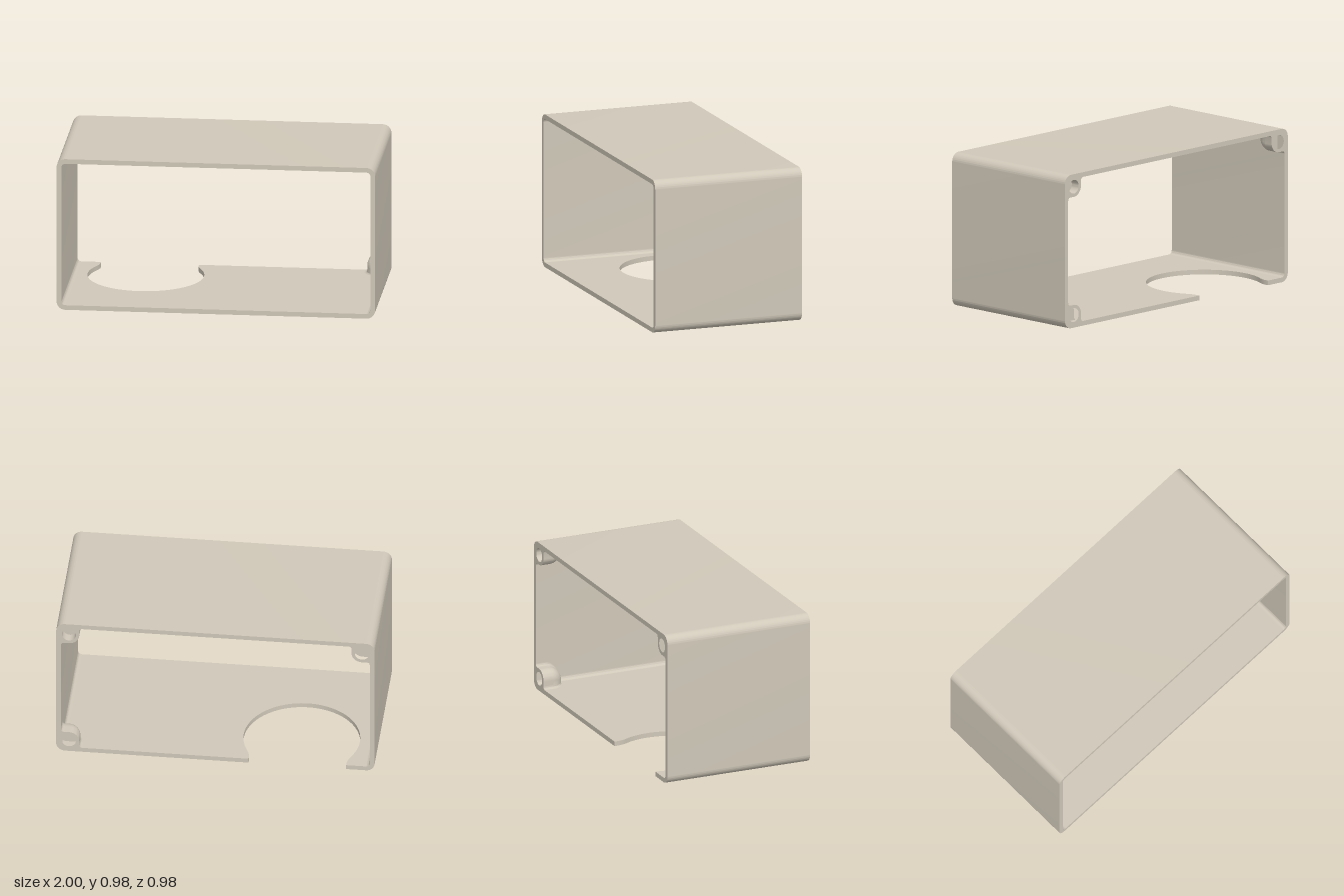
import * as THREE from 'three';
import { toCreasedNormals } from 'three/addons/utils/BufferGeometryUtils.js';

const W = 1, H = 0.98, D = 0.49, T = 0.03; // half width, height, half depth, wall
const R = 0.055, RI = R - T;               // outer and inner corner radii

export function createModel() {
  const group = new THREE.Group();
  const material = new THREE.MeshStandardMaterial({ color: 0xd0c8b9 });
  const add = (name, geometry) => {
    const mesh = new THREE.Mesh(toCreasedNormals(geometry, 0.6), material);
    mesh.name = name;
    group.add(mesh);
  };
  const extrude = (shape, depth, steps = 1) =>
    new THREE.ExtrudeGeometry(shape, { depth, steps, bevelEnabled: false, curveSegments: 16 });

  // Side walls and roof: one profile that leaves the flat of the floor open
  const c = W - R, q = Math.PI / 2;
  const walls = new THREE.Shape();
  walls.moveTo(c, 0);
  walls.absarc(c, R, R, -q, 0, false);
  walls.absarc(c, H - R, R, 0, q, false);
  walls.absarc(-c, H - R, R, q, 2 * q, false);
  walls.absarc(-c, R, R, 2 * q, 3 * q, false);
  walls.lineTo(-c, T);
  walls.absarc(-c, R, RI, 3 * q, 2 * q, true);
  walls.absarc(-c, H - R, RI, 2 * q, q, true);
  walls.absarc(c, H - R, RI, q, 0, true);
  walls.absarc(c, R, RI, 0, -q, true);
  walls.closePath();
  add('wallsAndRoof', extrude(walls, 2 * D).translate(0, 0, -D));

  // Floor with a round bite out of its back edge, drawn in plan as (x, -z)
  const cx = -0.515, cy = 0.235, r = 0.365, mouth = 0.307;
  const a = Math.asin(0.16 / r), dx = r * Math.cos(a), y0 = cy + 0.16;
  const floor = new THREE.Shape();
  floor.moveTo(-c, -D);
  floor.lineTo(c, -D);
  floor.lineTo(c, D);
  floor.lineTo(cx + mouth, D);
  floor.quadraticCurveTo(cx + dx - 0.025, y0 + 0.05, cx + dx, y0);
  const bite = new THREE.EllipseCurve(cx, cy, r, r, a, Math.PI - a, true);
  bite.getPoints(64).forEach((p) => floor.lineTo(p.x, p.y));
  floor.quadraticCurveTo(cx - dx + 0.025, y0 + 0.05, cx - mouth, D);
  floor.lineTo(-c, D);
  floor.closePath();
  add('floor', extrude(floor, T).rotateX(-Math.PI / 2));

  // Corner screw bosses: a drilled block with a dome that runs into the corner
  const size = 0.115, round = 0.065, fillet = 0.02, drill = 0.06, dome = 0.1;
  const bossShape = (sx, sy) => {
    const s = new THREE.Shape();
    const k = size - round;
    s.moveTo(0, 0);
    s.lineTo(sx * (size + fillet), 0);
    s.quadraticCurveTo(sx * size, 0, sx * size, sy * fillet);
    s.lineTo(sx * size, sy * k);
    for (let i = 1; i <= 12; i++) {
      const t = (i / 12) * q;
      s.lineTo(sx * (k + round * Math.cos(t)), sy * (k + round * Math.sin(t)));
    }
    s.lineTo(sx * fillet, sy * size);
    s.quadraticCurveTo(0, sy * size, 0, sy * (size + fillet));
    s.closePath();
    return s;
  };
  const corners = [
    ['bossTopLeft', 1, H - T, -1],
    ['bossTopRight', -1, H - T, -1],
    ['bossBottomLeft', 1, T, 1],
  ];
  for (const [name, side, y, up] of corners) {
    const x = side * (W - T);
    const block = bossShape(-side, up);
    block.holes.push(new THREE.Path().absarc(-side * 0.05, up * 0.05, 0.044, 0, Math.PI * 2, true));
    add(name, extrude(block, drill).translate(x, y, -D));

    const cap = extrude(bossShape(-side, up), dome, 8);
    const p = cap.attributes.position;
    for (let i = 0; i < p.count; i++) {
      const t = p.getZ(i) / dome;
      const s = Math.max(0.03, Math.sqrt(Math.max(0, 1 - t * t)));
      p.setXY(i, p.getX(i) * s, p.getY(i) * s);
    }
    add(name + 'Dome', cap.translate(x, y, drill - D));
  }
  return group;
}
